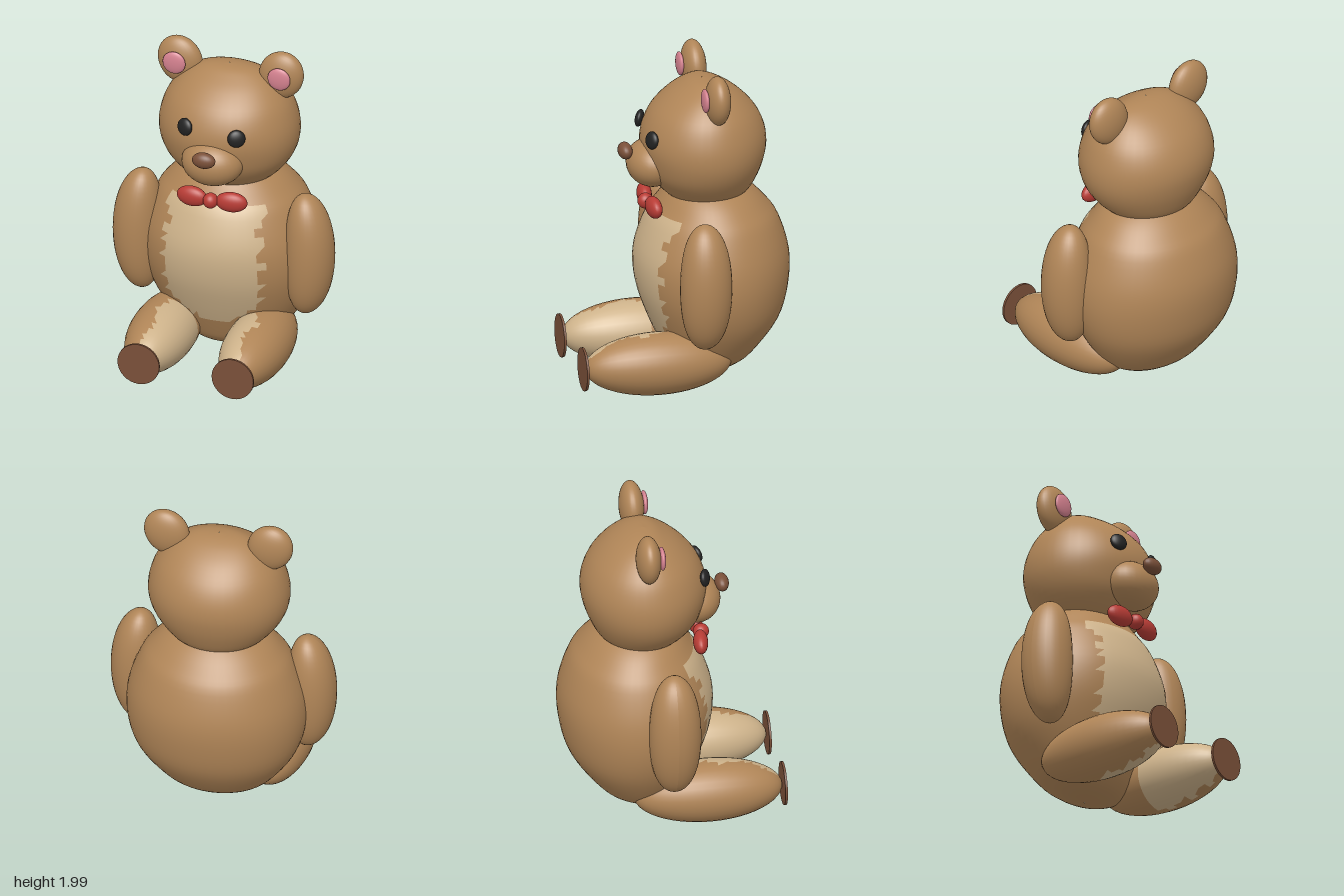
import * as THREE from 'three';

const mat = (name, color) => {
  const m = new THREE.MeshStandardMaterial({ color });
  m.name = name;
  return m;
};

// Closed smooth solid lofted through rows of [y, halfWidth, zFront, zBack]
function loft(rows, rings = 30, sides = 44) {
  const heights = new THREE.CatmullRomCurve3(rows.map((r) => new THREE.Vector3(0, r[0], 0)), false, 'catmullrom');
  const spans = new THREE.CatmullRomCurve3(rows.map((r) => new THREE.Vector3(r[1], r[2], r[3])), false, 'catmullrom');
  const positions = [];
  const index = [];
  for (let i = 0; i <= rings; i++) {
    const y = heights.getPoint(i / rings).y;
    const s = spans.getPoint(i / rings);
    for (let j = 0; j < sides; j++) {
      const a = (j / sides) * Math.PI * 2;
      positions.push(Math.max(s.x, 0.001) * Math.sin(a), y, (s.y + s.z) / 2 + ((s.y - s.z) / 2) * Math.cos(a));
      if (i === rings) continue;
      const k = (j + 1) % sides;
      const p = i * sides;
      const q = p + sides;
      index.push(p + j, p + k, q + k, p + j, q + k, q + j);
    }
  }
  const g = new THREE.BufferGeometry();
  g.setAttribute('position', new THREE.Float32BufferAttribute(positions, 3));
  g.setIndex(index);
  g.computeVertexNormals();
  return g;
}

// Sorts faces into fur (group 0) and the ragged pale front patch (group 1)
function paintPatch(g) {
  const p = g.attributes.position;
  const src = g.index.array;
  const fur = [];
  const pale = [];
  for (let i = 0; i < src.length; i += 3) {
    const tri = [src[i], src[i + 1], src[i + 2]];
    const mean = (get) => tri.reduce((sum, v) => sum + get(v), 0) / 3;
    const x = mean((v) => p.getX(v));
    const y = mean((v) => p.getY(v));
    const z = mean((v) => p.getZ(v));
    const ragged = 0.025 * Math.sin(y * 47 + z * 31);
    const inside = Math.abs(x) < 0.3 + ragged && y < 1.08 && z > (y > 0.95 ? 0.06 : 0.14);
    (inside ? pale : fur).push(...tri);
  }
  g.setIndex([...fur, ...pale]);
  g.clearGroups();
  g.addGroup(0, fur.length, 0);
  g.addGroup(fur.length, pale.length, 1);
  return g;
}

export function createModel() {
  const model = new THREE.Group();
  model.name = 'teddyBear';
  const fur = mat('brown fur', 0xb08557);
  const cream = mat('cream fur', 0xcdb28a);
  const dark = mat('dark brown', 0x7a5039);
  const pink = mat('pink', 0xd4818f);
  const black = mat('black', 0x222222);
  const red = mat('red', 0xb83c35);

  const add = (name, geometry, material, pos = [0, 0, 0]) => {
    const mesh = new THREE.Mesh(geometry, material);
    mesh.name = name;
    mesh.position.set(...pos);
    model.add(mesh);
    return mesh;
  };
  const ellipsoid = (name, material, pos, r, detail = 24) =>
    add(name, new THREE.SphereGeometry(1, detail, Math.round(detail * 0.7)).scale(...r), material, pos);

  // Torso with pale belly
  add('body', paintPatch(loft([
    [0.05, 0, -0.18, -0.2], [0.07, 0.16, -0.03, -0.28], [0.12, 0.27, 0.05, -0.37],
    [0.2, 0.36, 0.1, -0.46], [0.4, 0.49, 0.19, -0.6], [0.6, 0.545, 0.255, -0.655],
    [0.8, 0.535, 0.265, -0.66], [1.0, 0.465, 0.2, -0.6], [1.1, 0.395, 0.135, -0.53],
    [1.19, 0.3, 0.07, -0.44], [1.25, 0.18, 0, -0.34], [1.27, 0, -0.17, -0.18],
  ], 44, 56)), [fur, cream]);

  // Head and muzzle
  add('head', loft([
    [1.12, 0, -0.16, -0.18], [1.15, 0.2, 0.02, -0.34], [1.2, 0.29, 0.1, -0.42],
    [1.3, 0.375, 0.18, -0.475], [1.4, 0.42, 0.215, -0.51], [1.5, 0.43, 0.23, -0.525],
    [1.6, 0.412, 0.212, -0.51], [1.7, 0.37, 0.16, -0.46], [1.79, 0.295, 0.07, -0.375],
    [1.85, 0.21, -0.02, -0.285], [1.88, 0.12, -0.08, -0.21], [1.89, 0, -0.14, -0.15],
  ], 40), fur);
  ellipsoid('muzzle', fur, [0, 1.375, 0.165], [0.19, 0.145, 0.155], 32);
  ellipsoid('nose', dark, [0, 1.46, 0.33], [0.073, 0.05, 0.043]);

  for (const s of [1, -1]) {
    const side = s > 0 ? 'left' : 'right';

    // Ears and eyes
    const ear = ellipsoid(side + 'Ear', fur, [s * 0.32, 1.85, -0.165], [0.138, 0.155, 0.075], 32);
    ear.rotation.z = -s * 0.35;
    ellipsoid(side + 'InnerEar', pink, [s * 0.332, 1.86, -0.085], [0.072, 0.072, 0.022]);
    const eye = ellipsoid(side + 'Eye', black, [s * 0.163, s > 0 ? 1.572 : 1.598, 0.203], [0.054, 0.054, 0.026]);
    eye.rotation.set(-0.2, s * 0.4, 0);

    // Arm, leaning outwards below the shoulder
    const arm = new THREE.SphereGeometry(1, 32, 28).scale(0.15, 0.395, 0.157);
    const p = arm.attributes.position;
    for (let i = 0; i < p.count; i++) {
      const t = p.getY(i) / 0.395;
      const fuller = 1 + 0.12 * t * t;
      p.setXYZ(i, p.getX(i) * fuller + s * 0.015 * (1 - 2 * t * t), p.getY(i), p.getZ(i) * fuller);
    }
    arm.computeVertexNormals();
    add(side + 'Arm', arm, fur, [s * 0.53, 0.745, -0.04]);

    // Leg with pale inner side, and the sole
    const leg = new THREE.SphereGeometry(1, 32, 24).rotateX(Math.PI / 2);
    leg.scale(0.197, 0.19, 0.45).translate(s * 0.298, 0.2, 0.197);
    add(side + 'Leg', paintPatch(leg), [fur, cream]);
    const sole = new THREE.CylinderGeometry(0.132, 0.132, 0.014, 32).rotateX(Math.PI / 2);
    add(side + 'Sole', sole, dark, [s * 0.298, 0.2, 0.655]);

    // Bow loop
    const loop = ellipsoid(side + 'BowLoop', red, [s * 0.125, 1.13, 0.183], [0.098, 0.064, 0.045]);
    loop.rotation.y = s * 0.1;
  }
  ellipsoid('bowKnot', red, [0, 1.13, 0.205], [0.046, 0.048, 0.048]);

  return model;
}
